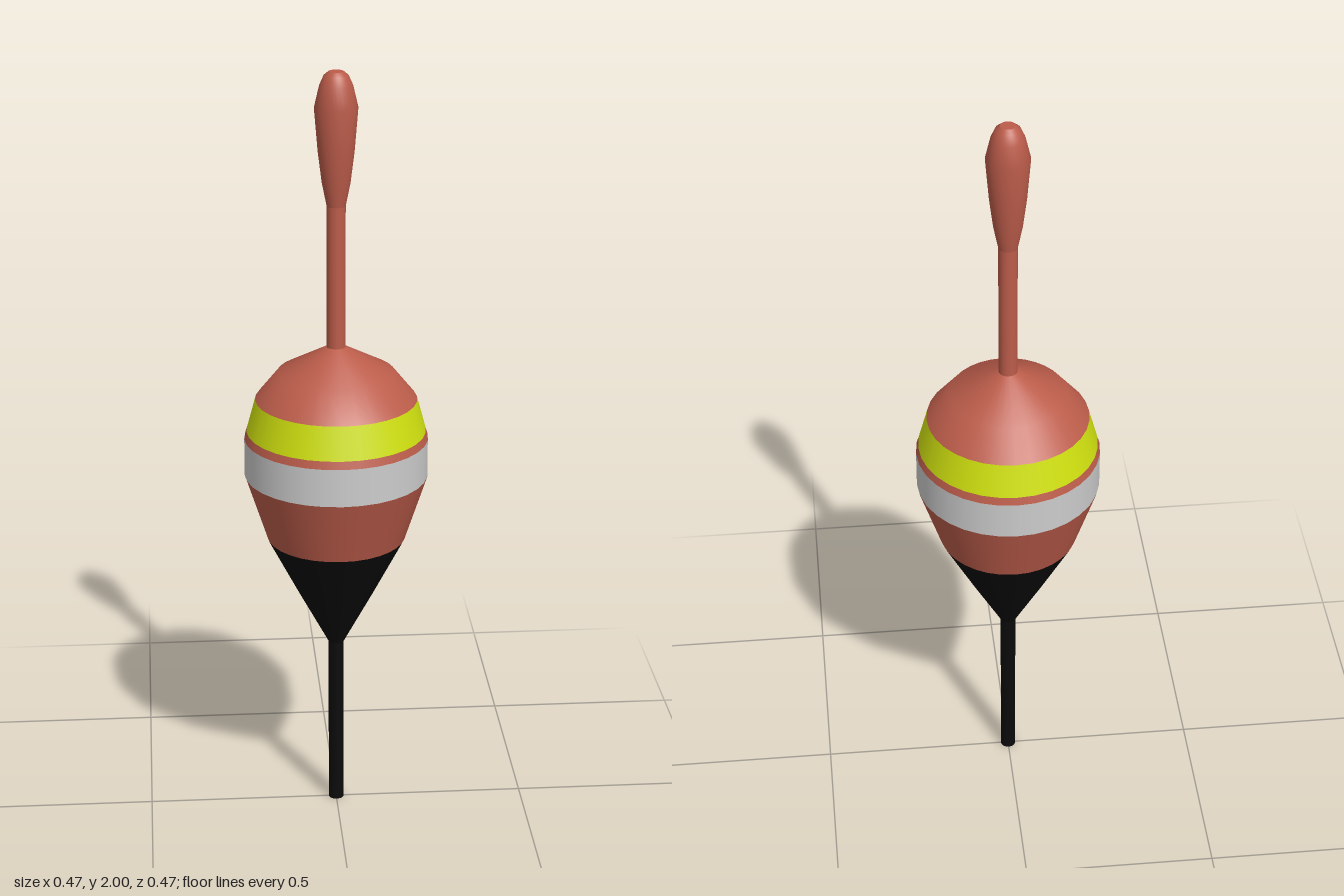
import * as THREE from 'three';

const SIDES = 32;
const material = (color) => new THREE.MeshStandardMaterial({ color });

export function createModel() {
  const model = new THREE.Group();
  model.name = 'fishingFloat';
  const red = material(0xbb5c4a);
  const yellow = material(0xcfe00f);
  const grey = material(0xcccccc);
  const black = material(0x0b0b0b);

  // Turned part from [radius, height] pairs, bottom to top
  const turned = (name, mat, profile) => {
    const points = profile.map(([r, y]) => new THREE.Vector2(r, y));
    const mesh = new THREE.Mesh(new THREE.LatheGeometry(points, SIDES), mat);
    mesh.name = name;
    model.add(mesh);
  };

  // Lower stick with its flat end
  turned('lowerStickEnd', black, [[0, 0], [0.02, 0]]);
  turned('lowerStick', black, [[0.02, 0], [0.02, 0.465]]);

  // Body, in painted bands
  turned('bodyTip', black, [[0.02, 0.465], [0.1, 0.615], [0.18, 0.77]]);
  turned('lowerBody', red, [[0.18, 0.77], [0.237, 0.945]]);
  turned('greyBand', grey, [[0.237, 0.945], [0.237, 1.045]]);
  turned('thinBand', red, [[0.237, 1.045], [0.231, 1.065]]);
  turned('yellowBand', yellow, [[0.231, 1.065], [0.208, 1.15]]);
  turned('shoulder', red, [[0.208, 1.15], [0.15, 1.222], [0.024, 1.29]]);

  // Antenna stem and bulbous sight tip
  turned('antennaStem', red, [[0.024, 1.29], [0.024, 1.66]]);
  turned('sightTip', red, [
    [0.024, 1.66], [0.036, 1.72], [0.046, 1.80], [0.055, 1.91],
    [0.042, 1.965], [0.031, 1.99], [0.019, 2],
  ]);
  turned('sightTipEnd', red, [[0.019, 2], [0, 2]]);

  return model;
}
